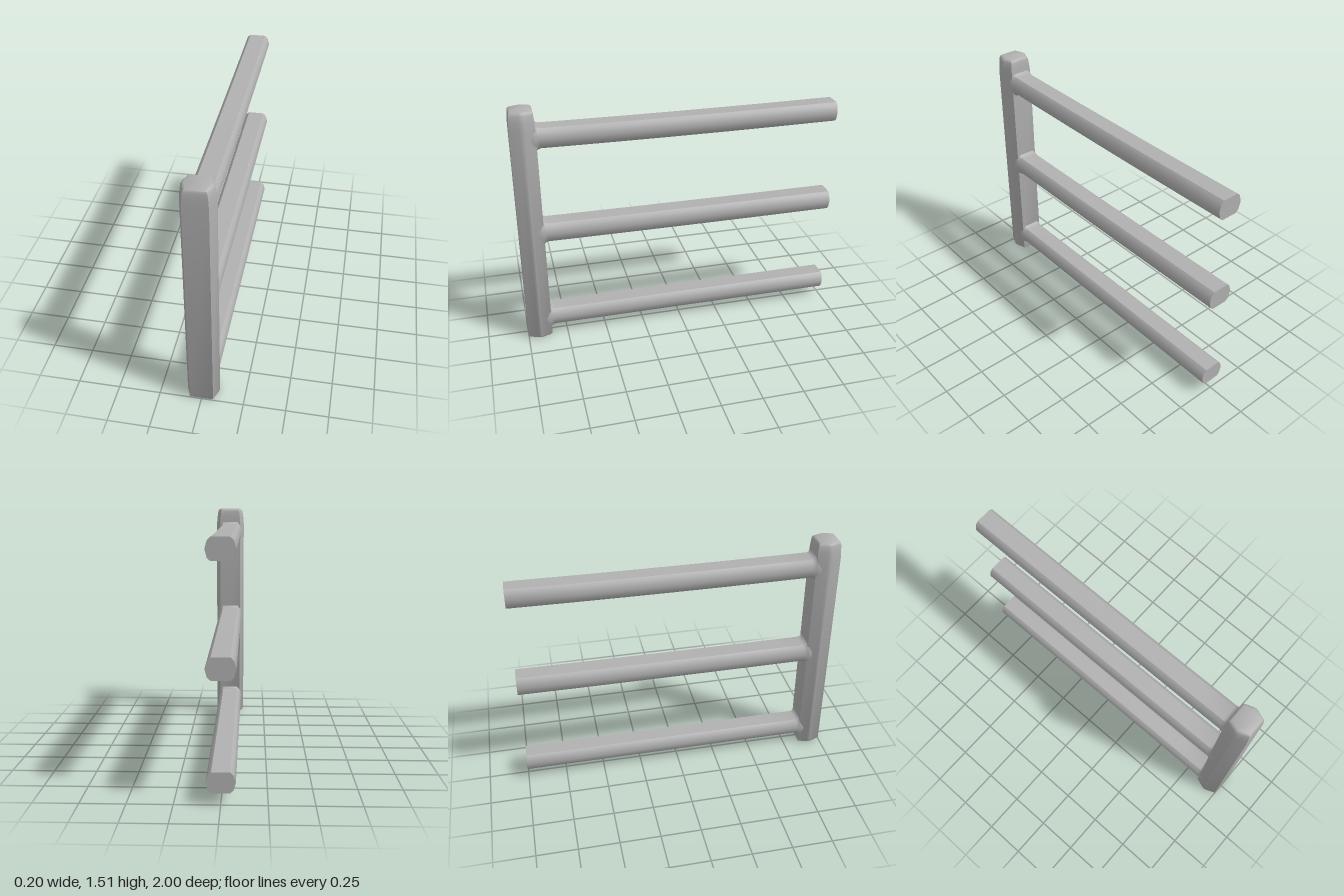
import * as THREE from 'three';
import { toCreasedNormals } from 'three/addons/utils/BufferGeometryUtils.js';

// Skin a list of rings (each an array of Vector3), closing both ends with caps
function loft(rings) {
  const n = rings[0].length, pos = [], idx = [];
  rings.forEach(r => r.forEach(p => pos.push(p.x, p.y, p.z)));
  for (let k = 0; k < rings.length - 1; k++) {
    for (let i = 0; i < n; i++) {
      const a = k * n + i, b = k * n + (i + 1) % n;
      idx.push(a, b, b + n, a, b + n, a + n);
    }
  }
  const last = (rings.length - 1) * n;
  for (let i = 1; i < n - 1; i++) {
    idx.push(0, i + 1, i);
    idx.push(last, last + i, last + i + 1);
  }
  const g = new THREE.BufferGeometry();
  g.setAttribute('position', new THREE.Float32BufferAttribute(pos, 3));
  g.setIndex(idx);
  return toCreasedNormals(g, 0.7);
}

// Mirror a half outline (listed from one end of the axis to the other) into a closed loop
const mirror = half => [...half, ...half.slice().reverse().map(([x, v]) => [-x, v])];

export function createModel() {
  const model = new THREE.Group();
  const grey = new THREE.MeshStandardMaterial({ color: 0xb0b0b0 });
  grey.name = 'plain grey';
  const add = (name, geometry) => {
    const mesh = new THREE.Mesh(geometry, grey);
    mesh.name = name;
    model.add(mesh);
  };

  // Upright post: six-sided with softened side corners, tapering into a rounded top
  const postHalf = mirror([[0.07, 0.075], [0.094, 0.015], [0.098, -0.002], [0.094, -0.018], [0.072, -0.075]]);
  const postLevels = [ // y, x scale, z scale
    [0, 0.9, 0.92], [0.012, 1, 1], [1.4, 1, 1], [1.45, 0.96, 0.97],
    [1.49, 0.9, 0.93], [1.504, 0.83, 0.87], [1.51, 0.72, 0.76]];
  add('post', loft(postLevels.map(([y, sx, sz]) =>
    postHalf.map(([x, z]) => new THREE.Vector3(x * sx, y, 0.925 + z * sz)))));

  // Rails: flattened bars with chamfered sides, flaring where they meet the post
  const railHalf = mirror([[0.05, -1], [0.068, -0.72], [0.08, 0], [0.068, 0.72], [0.05, 1]]);
  const stations = [ // z, flare
    [-1, 0], [-0.6, 0], [-0.3, 0], [0, 0], [0.3, 0], [0.6, 0], [0.825, 0],
    [0.838, 0.004], [0.848, 0.012], [0.858, 0.026], [0.88, 0.028]];
  const rails = [ // name, centre height, half height, sag, width scale
    ['lowerRail', 0.122, 0.057, 0, 1],
    ['middleRail', 0.73, 0.061, 0.003, 1.03],
    ['upperRail', 1.341, 0.061, 0.006, 1]];
  for (const [name, yc, h, sag, w] of rails) {
    add(name, loft(stations.map(([z, flare]) => {
      const drop = sag * Math.max(0, 1 - z * z);
      return railHalf.map(([x, v]) =>
        new THREE.Vector3(x * (w + flare * 2), yc - drop + v * (h + flare), z));
    })));
  }
  return model;
}
